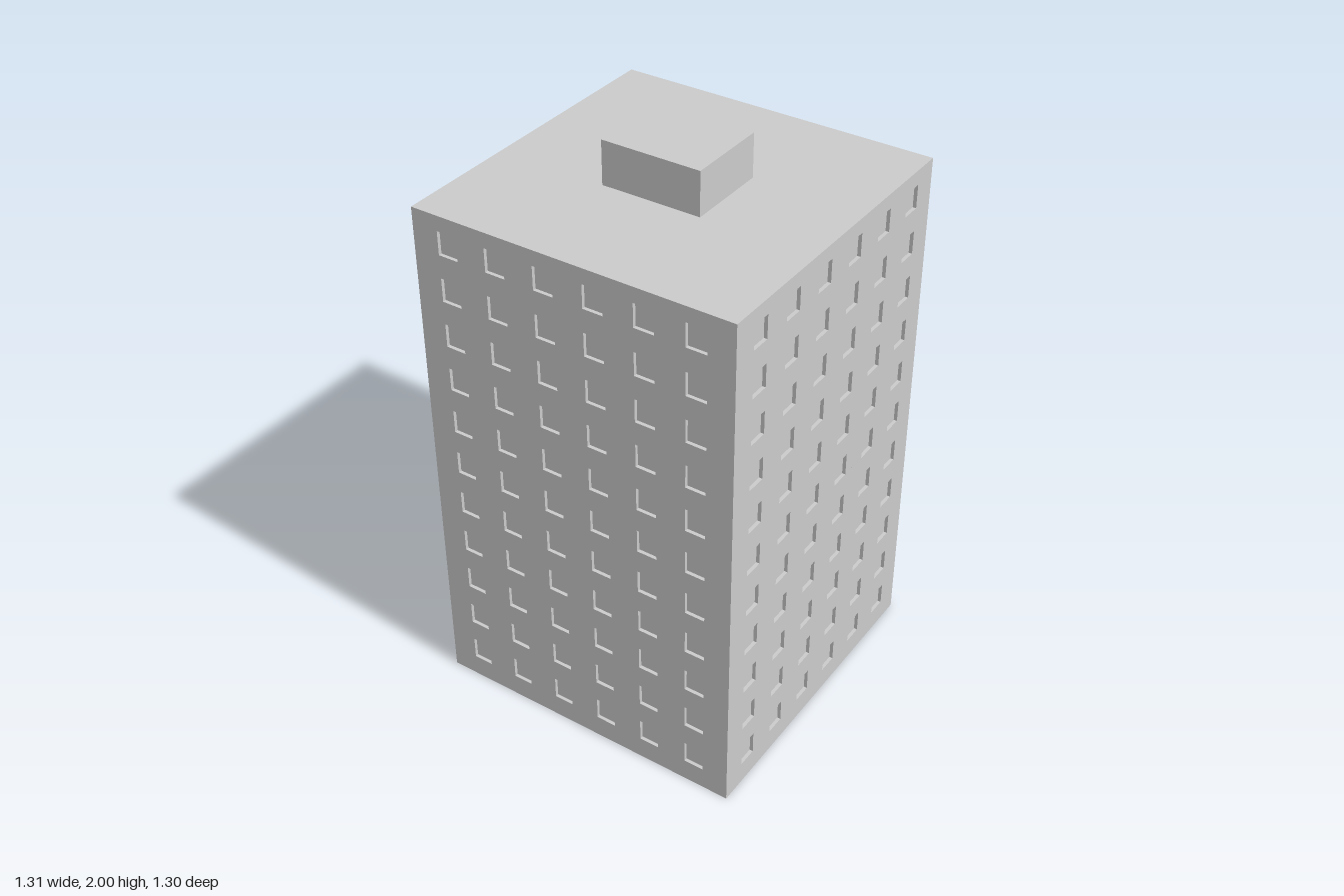
import * as THREE from 'three';
import { mergeGeometries } from 'three/addons/utils/BufferGeometryUtils.js';

const WIDTH = 1.136, DEPTH = 1.128, ROOF_Y = 1.848;
const COLUMNS = 6, ROWS = 11, COLUMN_PITCH = 0.1757, ROW_PITCH = 0.1632, FIRST_ROW_Y = 0.122;
const WINDOW_W = 0.071, WINDOW_H = 0.082, RECESS = 0.012;

const material = new THREE.MeshStandardMaterial({ color: 0xcccccc, side: THREE.DoubleSide, flatShading: true });

function addMesh(parent, name, geometry) {
  const mesh = new THREE.Mesh(geometry, material);
  mesh.name = name;
  parent.add(mesh);
  return mesh;
}

// Centres of all windows on one wall
function windowCentres() {
  const centres = [];
  for (let row = 0; row < ROWS; row++) {
    for (let col = 0; col < COLUMNS; col++) {
      centres.push([(col - (COLUMNS - 1) / 2) * COLUMN_PITCH, FIRST_ROW_Y + row * ROW_PITCH]);
    }
  }
  return centres;
}

function rectangle(PathType, x0, y0, x1, y1) {
  return new PathType([[x0, y0], [x1, y0], [x1, y1], [x0, y1]].map(([x, y]) => new THREE.Vector2(x, y)));
}

// Shallow window pocket: a box without its front face
function windowPocket(x, y) {
  const box = new THREE.BoxGeometry(WINDOW_W, WINDOW_H, RECESS);
  const index = Array.from(box.index.array);
  index.splice(24, 6);
  box.setIndex(index);
  box.clearGroups();
  return box.translate(x, y, -RECESS / 2);
}

// Thin wall pierced by the window grid, with the recessed windows behind it
function createWall(name, width, distance, turn) {
  const wall = new THREE.Group();
  wall.name = name;
  const shape = rectangle(THREE.Shape, -width / 2, 0, width / 2, ROOF_Y);
  const centres = windowCentres();
  for (const [x, y] of centres) {
    shape.holes.push(rectangle(THREE.Path,
      x - WINDOW_W / 2, y - WINDOW_H / 2, x + WINDOW_W / 2, y + WINDOW_H / 2));
  }
  addMesh(wall, 'wallPanel', new THREE.ShapeGeometry(shape));
  addMesh(wall, 'windows', mergeGeometries(centres.map(([x, y]) => windowPocket(x, y))));
  wall.rotation.y = turn;
  wall.position.set(Math.sin(turn) * distance, 0, Math.cos(turn) * distance);
  return wall;
}

export function createModel() {
  const model = new THREE.Group();
  model.name = 'apartmentTower';

  // The whole tower stands at a slight angle
  const tower = new THREE.Group();
  tower.name = 'tower';
  tower.rotation.y = THREE.MathUtils.degToRad(-9.8);
  model.add(tower);

  // Four window walls, open at the bottom
  ['frontWall', 'leftWall', 'backWall', 'rightWall'].forEach((name, i) => {
    const [width, distance] = i % 2 ? [DEPTH, WIDTH / 2] : [WIDTH, DEPTH / 2];
    tower.add(createWall(name, width, distance, i * Math.PI / 2));
  });

  // Flat roof
  addMesh(tower, 'roof', new THREE.PlaneGeometry(WIDTH, DEPTH).rotateX(-Math.PI / 2).translate(0, ROOF_Y, 0));

  // Machine room on the roof
  const roomHeight = 2 - ROOF_Y;
  addMesh(tower, 'roofRoom', new THREE.BoxGeometry(0.351, roomHeight, 0.291)
    .translate(-0.002, ROOF_Y + roomHeight / 2, -0.002));

  return model;
}
